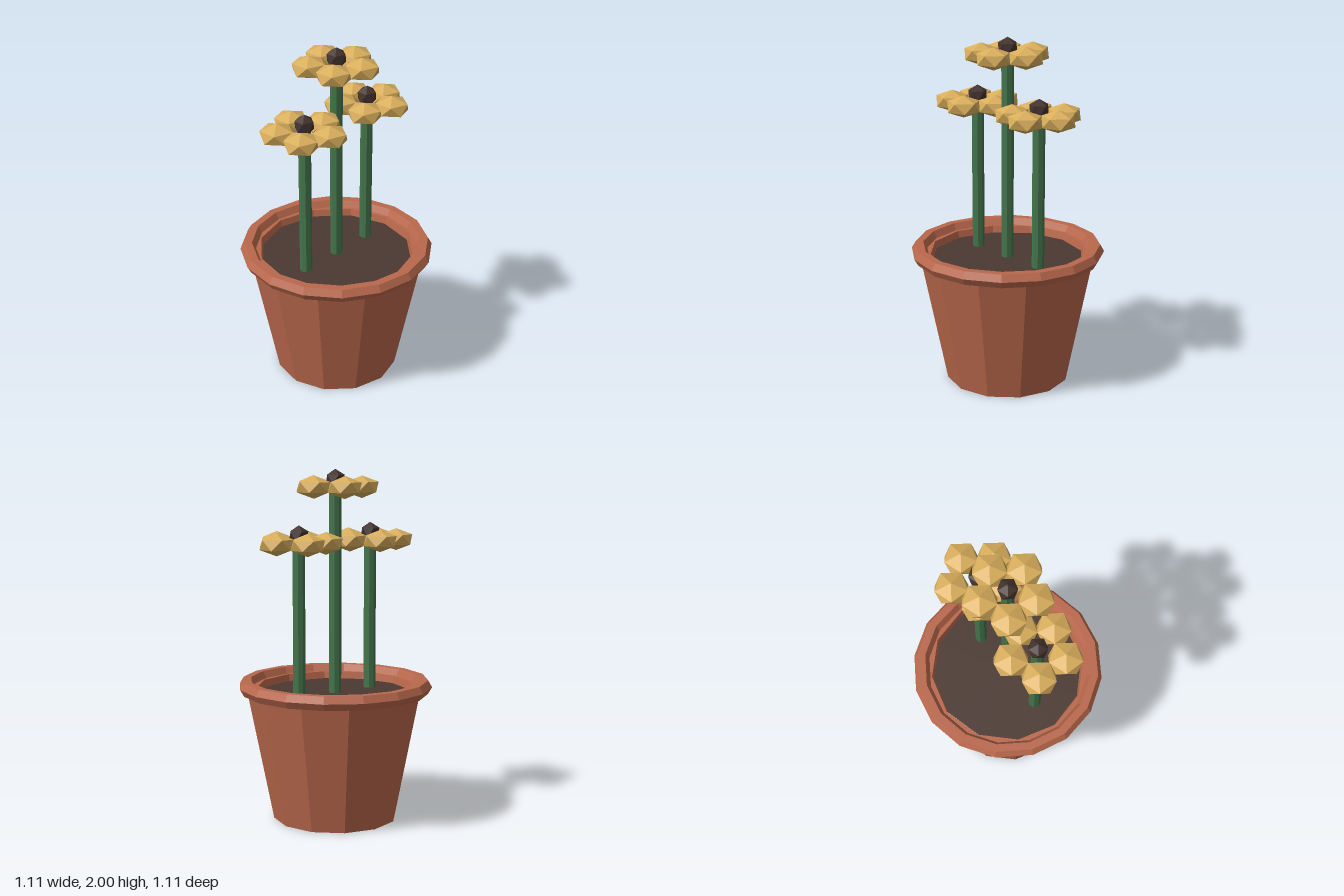
import * as THREE from 'three';

const material = (color) => new THREE.MeshStandardMaterial({ color, flatShading: true });

// Icosahedron standing on a corner, with one upper corner pointing to +x
function pointUpIcosahedron(radius) {
  const geometry = new THREE.IcosahedronGeometry(radius, 0);
  geometry.rotateZ(-Math.atan(2 / (1 + Math.sqrt(5))));
  return geometry;
}

export function createModel() {
  const model = new THREE.Group();
  model.name = 'pottedFlowers';

  const clay = material(0xb9684c);
  const earth = material(0x4b3932);
  const green = material(0x44754c);
  const yellow = material(0xd9ae5c);
  const brown = material(0x43322d);

  const add = (parent, name, geometry, mat, x = 0, y = 0, z = 0) => {
    const mesh = new THREE.Mesh(geometry, mat);
    mesh.name = name;
    mesh.position.set(x, y, z);
    parent.add(mesh);
    return mesh;
  };

  // Twelve-sided pot with a thick, open top
  const profile = [[0, 0], [0.357, 0], [0.51, 0.77], [0.448, 0.77], [0.433, 0.7]]
    .map(([r, y]) => new THREE.Vector2(r, y));
  add(model, 'pot', new THREE.LatheGeometry(profile, 12), clay);

  // Rounded rim
  const rim = new THREE.TorusGeometry(0.51, 0.045, 6, 16);
  rim.rotateX(Math.PI / 2);
  add(model, 'rim', rim, clay, 0, 0.77);

  // Soil
  add(model, 'soil', new THREE.CylinderGeometry(0.438, 0.42, 0.08, 12), earth, 0, 0.69);

  // Flowers: stem, five flattened petals and a core
  const petalGeometry = pointUpIcosahedron(0.105).scale(1, 0.6, 1);
  const coreGeometry = pointUpIcosahedron(0.06);
  const stemBase = 0.7;

  const addFlower = (name, x, y) => {
    const flower = new THREE.Group();
    flower.name = name;
    flower.position.set(x, 0, 0);
    model.add(flower);

    const height = y - stemBase;
    add(flower, 'stem', new THREE.CylinderGeometry(0.035, 0.035, height, 8), green, 0, stemBase + height / 2);
    for (let i = 0; i < 5; i++) {
      const a = (i / 5) * Math.PI * 2;
      add(flower, 'petal', petalGeometry, yellow, Math.cos(a) * 0.15, y, Math.sin(a) * 0.15);
    }
    add(flower, 'core', coreGeometry, brown, 0, y + 0.04);
  };

  addFlower('middleFlower', 0, 1.9);
  addFlower('leftFlower', 0.257, 1.595);
  addFlower('rightFlower', -0.257, 1.595);

  return model;
}
